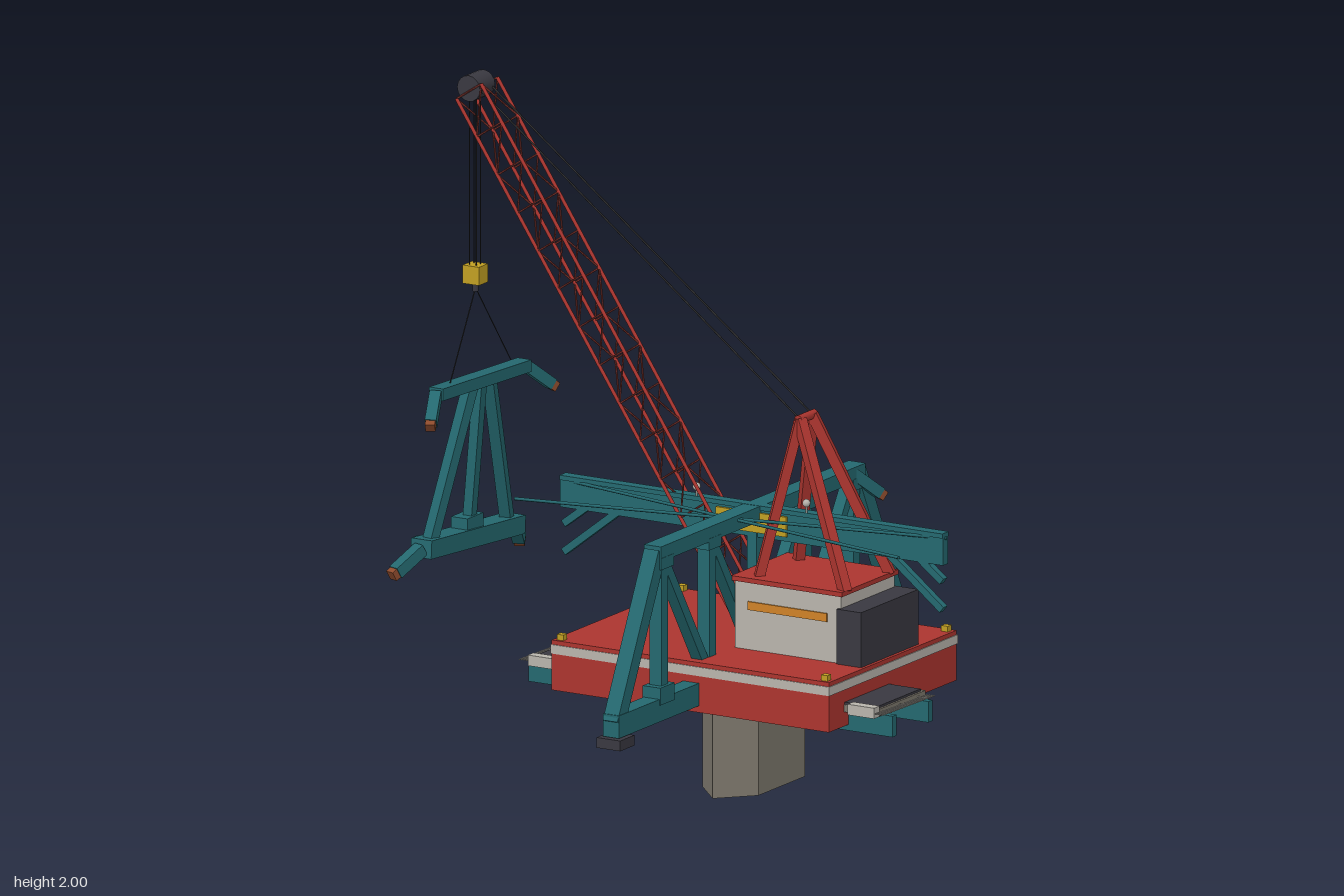
import * as THREE from 'three';

const material = (name, color) => {
  const m = new THREE.MeshStandardMaterial({ color });
  m.name = name;
  return m;
};

export function createModel() {
  const model = new THREE.Group();
  model.name = 'craneBargeAtBridge';
  const red = material('crane red', 0xac352f);
  const darkRed = material('lacing red', 0x74302b);
  const teal = material('bridge teal', 0x24686f);
  const pale = material('pale grey', 0xb9b5ad);
  const dark = material('dark steel', 0x393840);
  const yellow = material('signal yellow', 0xc2a023);
  const orange = material('window orange', 0xd08228);
  const rust = material('torn rust', 0x8c4a2c);
  const stone = material('pier concrete', 0x7d786d);
  const wire = material('cable black', 0x2b2b2d);

  const V = (x, y, z) => new THREE.Vector3(x, y, z);
  const part = (name) => {
    const g = new THREE.Group();
    g.name = name;
    model.add(g);
    return g;
  };
  const add = (parent, name, geo, mat) => {
    const m = new THREE.Mesh(geo, mat);
    m.name = name;
    parent.add(m);
    return m;
  };
  // box given by its extents on each axis
  const block = (parent, name, mat, [x0, x1], [y0, y1], [z0, z1]) => {
    const m = add(parent, name, new THREE.BoxGeometry(x1 - x0, y1 - y0, z1 - z0), mat);
    m.position.set((x0 + x1) / 2, (y0 + y1) / 2, (z0 + z1) / 2);
    return m;
  };
  // box member between two points
  const beam = (parent, name, mat, a, b, w, h = w) => {
    const m = add(parent, name, new THREE.BoxGeometry(w, h, a.distanceTo(b)), mat);
    m.position.copy(a).lerp(b, 0.5);
    m.lookAt(b);
    return m;
  };
  // round member between two points
  const rod = (parent, name, mat, a, b, r, sides = 6) => {
    const geo = new THREE.CylinderGeometry(r, r, a.distanceTo(b), sides);
    geo.rotateX(Math.PI / 2);
    const m = add(parent, name, geo, mat);
    m.position.copy(a).lerp(b, 0.5);
    m.lookAt(b);
  };
  // bent member end with a rusty tip
  const tornEnd = (parent, a, b, w) => {
    beam(parent, 'tornEnd', teal, a, b, w);
    const tip = b.clone().sub(a).setLength(0.018).add(b);
    beam(parent, 'tornTip', rust, b, tip, w * 0.85);
  };

  // Pier with pointed cutwaters
  const plan = new THREE.Shape([[0.095, -0.13], [0, -0.23], [-0.095, -0.13],
    [-0.095, 0.13], [0, 0.23], [0.095, 0.13]].reverse().map(([x, y]) => new THREE.Vector2(x, y)));
  const pierGeo = new THREE.ExtrudeGeometry(plan, { depth: 0.29, bevelEnabled: false });
  pierGeo.rotateX(-Math.PI / 2);
  add(model, 'pier', pierGeo, stone).position.x = 0.187;

  // Barge hull, stripe and bollards
  const barge = part('barge');
  block(barge, 'hull', red, [-0.285, 0.66], [0.29, 0.44], [-0.355, 0.355]);
  block(barge, 'hullStripe', pale, [-0.288, 0.663], [0.4, 0.427], [-0.358, 0.358]);
  for (const x of [-0.262, 0.638]) for (const z of [-0.335, 0.335])
    block(barge, 'bollard', yellow, [x - 0.011, x + 0.011], [0.44, 0.457], [z - 0.011, z + 0.011]);

  // Broken deck carried on two stringers
  const deck = part('brokenDeck');
  for (const z of [0.035, 0.235])
    block(deck, 'stringer', teal, [-0.43, 0.81], [0.272, 0.335], [z - 0.011, z + 0.011]);
  for (const s of [-1, 1]) {
    const span = (a, b) => [0.19 + s * a, 0.19 + s * b].sort((p, q) => p - q);
    block(deck, 'slab', stone, span(0.46, 0.585), [0.333, 0.355], [0.005, 0.27]);
    block(deck, 'asphalt', dark, span(0.46, 0.578), [0.355, 0.362], [0.02, 0.268]);
    block(deck, 'curb', pale, span(0.5, 0.59), [0.335, 0.367], [0.268, 0.3]);
    for (let i = 0; i < 4; i++) {
      const x = 0.19 + s * (0.595 + i * 0.008);
      rod(deck, 'reinforcingBar', pale, V(x, 0.345, 0.01), V(x, 0.35, 0.3), 0.002, 4);
    }
    for (let i = 0; i < 3; i++) {
      const z = 0.05 + i * 0.1;
      rod(deck, 'reinforcingBar', pale, V(0.19 + s * 0.57, 0.345, z), V(0.19 + s * 0.62, 0.348, z), 0.002, 4);
    }
  }

  // Main bridge truss across the barge
  const truss = part('mainTruss');
  const tx = 0.19;
  block(truss, 'topChord', teal, [0.161, 0.219], [0.79, 0.835], [-0.57, 0.57]);
  block(truss, 'bottomChord', teal, [0.163, 0.217], [0.31, 0.378], [-0.8, 0.8]);
  beam(truss, 'centrePost', teal, V(tx, 0.35, 0), V(tx, 0.81, 0), 0.034);
  for (const s of [-1, 1]) {
    beam(truss, 'endPost', teal, V(tx, 0.35, s * 0.785), V(tx, 0.815, s * 0.555), 0.05, 0.046);
    block(truss, 'bearing', dark, [0.15, 0.23], [0.277, 0.308], s > 0 ? [0.735, 0.815] : [-0.815, -0.735]);
    for (const z of [0.535, 0.268]) {
      beam(truss, 'post', teal, V(tx, 0.35, s * z), V(tx, 0.81, s * z), 0.04, 0.036);
      block(truss, 'lowerGusset', teal, [0.16, 0.22], [0.36, 0.412], [s * z - 0.04, s * z + 0.04]);
      block(truss, 'upperGusset', teal, [0.16, 0.22], [0.765, 0.8], [s * z - 0.035, s * z + 0.035]);
    }
    beam(truss, 'diagonal', teal, V(tx, 0.8, s * 0.535), V(tx, 0.38, s * 0.268), 0.036, 0.03);
    beam(truss, 'diagonal', teal, V(tx, 0.8, s * 0.268), V(tx, 0.38, 0), 0.036, 0.03);
  }
  tornEnd(truss, V(0.2, 0.815, -0.52), V(0.243, 0.742, -0.605), 0.034);
  tornEnd(truss, V(0.18, 0.34, -0.52), V(0.148, 0.275, -0.605), 0.034);
  block(truss, 'floorBeamStub', teal, [0.115, 0.19], [0.32, 0.36], [-0.463, -0.447]);

  // Long girder with cut braces, wind bracing, sign and lamps
  const girder = part('crossGirder');
  block(girder, 'web', teal, [-0.465, 0.84], [0.74, 0.822], [-0.014, 0.014]);
  block(girder, 'topFlange', teal, [-0.465, 0.84], [0.822, 0.836], [-0.018, 0.018]);
  for (const s of [-1, 1]) {
    const x = (d) => 0.188 + s * d;
    beam(girder, 'cutBrace', teal, V(x(0.46), 0.75, 0), V(x(0.645), 0.605, 0), 0.022);
    beam(girder, 'cutBrace', teal, V(x(0.56), 0.755, 0), V(x(0.645), 0.69, 0), 0.022);
    rod(girder, 'windBrace', teal, V(x(-0.655), 0.82, 0), V(x(0.655), 0.82, 0.265), 0.005);
    rod(girder, 'lampPole', pale, V(x(0.187), 0.83, 0.015), V(x(0.187), 0.862, 0.015), 0.003);
    add(girder, 'lamp', new THREE.SphereGeometry(0.012, 10, 8), pale).position.set(x(0.187), 0.865, 0.015);
  }
  block(girder, 'signPanel', yellow, [0.07, 0.31], [0.755, 0.815], [0.014, 0.022]);

  // Crane cabin, counterweight and A-frame
  const crane = part('craneHouse');
  block(crane, 'cabin', pale, [0.215, 0.575], [0.44, 0.642], [-0.15, 0.15]);
  block(crane, 'roof', red, [0.205, 0.583], [0.642, 0.656], [-0.157, 0.157]);
  block(crane, 'counterweight', dark, [0.567, 0.65], [0.44, 0.605], [-0.16, 0.16]);
  for (const z of [-0.152, 0.152])
    block(crane, 'windowBand', orange, [0.26, 0.53], [0.56, 0.585], [z - 0.003, z + 0.003]);
  for (const s of [-1, 1]) {
    const apex = V(0.365, 1.12, s * 0.035);
    beam(crane, 'frontLeg', red, V(0.272, 0.65, s * 0.11), apex, 0.028);
    beam(crane, 'rearLeg', red, V(0.575, 0.65, s * 0.125), apex, 0.03);
    rod(crane, 'pendantCable', wire, apex, V(-0.74, 1.97, s * 0.03), 0.003, 5);
  }
  rod(crane, 'apexBar', red, V(0.365, 1.12, -0.045), V(0.365, 1.12, 0.045), 0.014, 8);

  // Lattice boom
  const boom = part('boom');
  const foot = V(0.215, 0.485, 0), head = V(-0.757, 1.955, 0);
  const bays = 14;
  const node = (t, n, s) => foot.clone().lerp(head, t).add(V(n * 0.042, n * 0.028, s * 0.045));
  for (const n of [-1, 1]) for (const s of [-1, 1])
    rod(boom, 'boomChord', red, node(0, n, s), node(1, n, s), 0.006);
  for (let i = 0; i < bays; i++) {
    const a = i / bays, b = (i + 1) / bays, f = i % 2 ? 1 : -1;
    for (const s of [-1, 1]) {
      rod(boom, 'sideLacing', darkRed, node(a, -1, s), node(b, 1, s), 0.003, 4);
      rod(boom, 'sideLacing', darkRed, node(b, 1, s), node(b, -1, s), 0.003, 4);
      rod(boom, 'faceLacing', darkRed, node(a, s, -f), node(b, s, f), 0.003, 4);
    }
  }
  rod(boom, 'headSheave', dark, V(-0.76, 1.962, -0.042), V(-0.76, 1.962, 0.042), 0.039, 16);

  // Hoist cables, hook block and slings
  const hoist = part('hoist');
  for (const x of [-0.775, -0.752]) for (const z of [-0.012, 0.012])
    rod(hoist, 'hoistCable', wire, V(x, 1.96, z), V(x, 1.4, z), 0.002, 4);
  block(hoist, 'hookBlock', yellow, [-0.79, -0.735], [1.37, 1.425], [-0.026, 0.026]);
  rod(hoist, 'hook', dark, V(-0.762, 1.38, 0), V(-0.762, 1.345, 0), 0.009, 8);
  for (const z of [0.16, -0.18])
    rod(hoist, 'sling', wire, V(-0.762, 1.355, 0), V(-0.752, 1.1, z), 0.002, 4);

  // Lifted truss section
  const load = part('liftedSection');
  const top = [V(-0.75, 1.09, 0.24), V(-0.748, 1.07, -0.25)];
  const low = [V(-0.788, 0.625, 0.26), V(-0.792, 0.585, -0.27)];
  const onTop = (t) => top[0].clone().lerp(top[1], t);
  const onLow = (t) => low[0].clone().lerp(low[1], t);
  beam(load, 'topChord', teal, top[0], top[1], 0.048, 0.036);
  beam(load, 'bottomChord', teal, low[0], low[1], 0.07, 0.055);
  tornEnd(load, top[0], V(-0.715, 1.025, 0.325), 0.034);
  tornEnd(load, top[1], V(-0.71, 1.0, -0.335), 0.034);
  tornEnd(load, low[0], V(-0.82, 0.57, 0.35), 0.036);
  tornEnd(load, low[1], V(-0.818, 0.52, -0.335), 0.036);
  beam(load, 'post', teal, onTop(0.5), onLow(0.5), 0.03);
  for (const t of [0.08, 0.92])
    beam(load, 'diagonal', teal, onTop(t < 0.5 ? 0.4 : 0.6), onLow(t), 0.034);
  for (const t of [0.12, 0.38, 0.64, 0.84]) {
    const p = onLow(t);
    block(load, 'floorBeamStub', teal, [-0.848, -0.79], [p.y - 0.03, p.y + 0.02], [p.z - 0.01, p.z + 0.01]);
  }
  block(load, 'gusset', teal, [-0.818, -0.762], [0.6, 0.67], [-0.045, 0.045]);
  return model;
}
